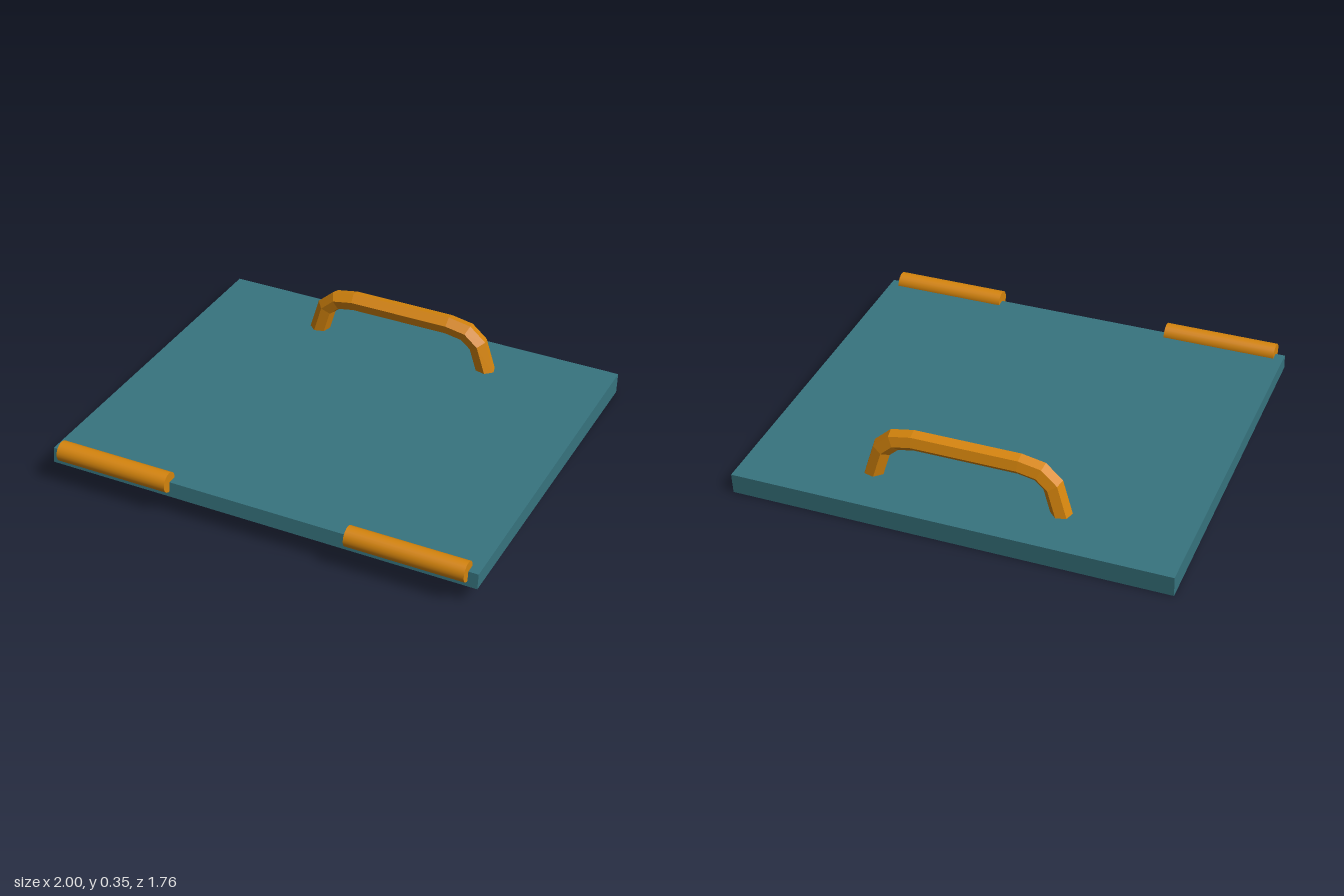
import * as THREE from 'three';

const teal = new THREE.MeshStandardMaterial({ name: 'teal', color: 0x37747f });
const orange = new THREE.MeshStandardMaterial({ name: 'orange', color: 0xd6850d });
const handleOrange = orange.clone();
handleOrange.flatShading = true;

// Six-sided bar with mitred bends, following a path in the xy plane
function hexBar(path, radius, phase, zAt) {
  const pts = path.map(([x, y]) => new THREE.Vector2(x, y));
  const dirs = pts.slice(1).map((p, i) => p.clone().sub(pts[i]).normalize());
  const rings = pts.map((p, i) => {
    const before = dirs[Math.max(i - 1, 0)];
    const after = dirs[Math.min(i, dirs.length - 1)];
    const t = before.clone().add(after).normalize();
    const miter = 1 / t.dot(after);
    return Array.from({ length: 6 }, (_, j) => {
      const a = phase + j * Math.PI / 3;
      const out = radius * Math.sin(a) * miter;
      return [p.x - t.y * out, p.y + t.x * out, zAt(p.y) + radius * Math.cos(a)];
    });
  });
  const pos = [];
  for (let i = 0; i < rings.length - 1; i++) {
    for (let j = 0; j < 6; j++) {
      const k = (j + 1) % 6;
      const a = rings[i][j], b = rings[i + 1][j], c = rings[i + 1][k], d = rings[i][k];
      pos.push(...a, ...b, ...c, ...a, ...c, ...d);
    }
  }
  const geo = new THREE.BufferGeometry();
  geo.setAttribute('position', new THREE.Float32BufferAttribute(pos, 3));
  geo.computeVertexNormals();
  return geo;
}

export function createModel() {
  const group = new THREE.Group();
  const add = (name, geo, mat) => {
    const mesh = new THREE.Mesh(geo, mat);
    mesh.name = name;
    group.add(mesh);
    return mesh;
  };

  // Sloping panel, thicker towards the back: side profile as (z, y)
  const profile = new THREE.Shape([
    [0.84, 0.092], [0.832, 0.162], [-0.88, 0.096], [-0.873, 0],
  ].map(([z, y]) => new THREE.Vector2(z, y)));
  const panel = new THREE.ExtrudeGeometry(profile, { depth: 2, bevelEnabled: false });
  panel.rotateY(-Math.PI / 2).translate(1, 0, 0);
  add('panel', panel, teal);

  // Hinge barrels along the front edge
  for (const side of [-1, 1]) {
    const barrel = new THREE.CylinderGeometry(0.046, 0.046, 0.535, 24).rotateZ(Math.PI / 2);
    const hinge = add(side > 0 ? 'leftHinge' : 'rightHinge', barrel, orange);
    hinge.position.set(side * 0.6875, 0.163, 0.834);
  }

  // Arched handle near the back edge
  const half = [[0.24, 0.304], [0.332, 0.287], [0.39, 0.235], [0.437, 0.08]];
  const path = [...half.map(([x, y]) => [-x, y]).reverse(), ...half];
  add('handle', hexBar(path, 0.046, Math.PI / 12, (y) => -0.642 + 0.03 * y), handleOrange);

  return group;
}
